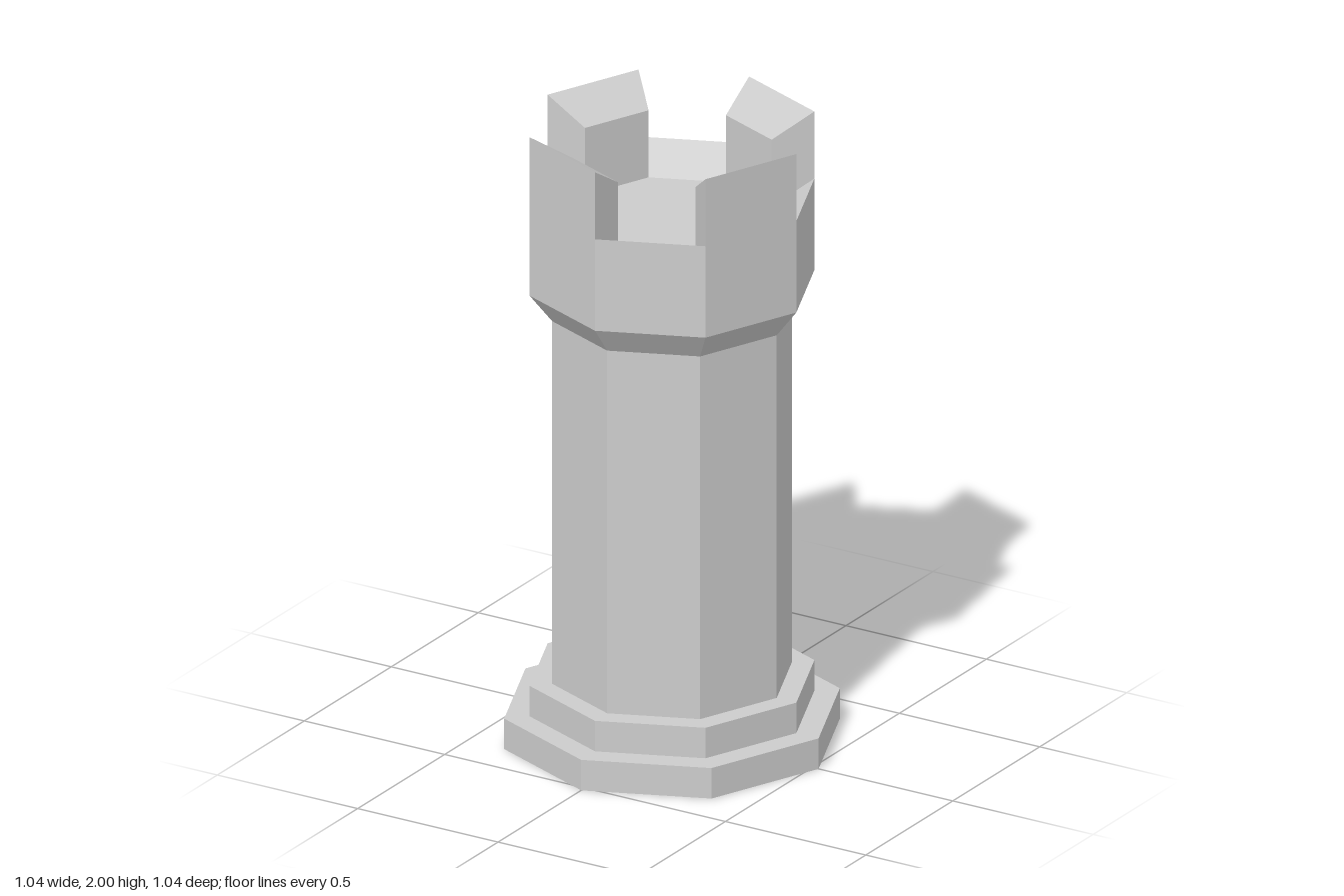
import * as THREE from 'three';
import { ConvexGeometry } from 'three/addons/geometries/ConvexGeometry.js';

const SIDES = 8;
const OUTER = 0.443, INNER = 0.31; // parapet radii
const SILL = 1.78, TOP = 2, DROP = 0.08; // heights; tops slope down inward

export function createModel() {
  const model = new THREE.Group();
  model.name = 'rookTower';
  const material = new THREE.MeshStandardMaterial({ color: 0xcccccc, flatShading: true });

  const add = (name, geometry) => {
    const mesh = new THREE.Mesh(geometry, material);
    mesh.name = name;
    model.add(mesh);
  };
  const lathe = (profile) =>
    new THREE.LatheGeometry(profile.map(([r, y]) => new THREE.Vector2(r, y)), SIDES).toNonIndexed();

  // Two-step octagonal plinth
  add('base', lathe([[0, 0], [0.522, 0], [0.522, 0.1], [OUTER, 0.1], [OUTER, 0.2], [0.373, 0.2]]));

  // Straight shaft
  add('shaft', lathe([[0.373, 0.2], [0.373, 1.39]]));

  // Flared head with sloped sill and sunken floor
  add('head', lathe([[0.373, 1.39], [OUTER, 1.48], [OUTER, SILL], [INNER, SILL - DROP], [0, SILL - DROP]]));

  // Four merlons, one on every second side
  const step = (Math.PI * 2) / SIDES;
  for (let i = 0; i < SIDES; i += 2) {
    const corners = [];
    for (const angle of [(i - 1) * step, i * step]) {
      for (const [r, drop] of [[OUTER, 0], [INNER, DROP]]) {
        for (const y of [SILL, TOP]) {
          corners.push(new THREE.Vector3(Math.sin(angle) * r, y - drop, Math.cos(angle) * r));
        }
      }
    }
    add('merlon' + (i / 2 + 1), new ConvexGeometry(corners));
  }
  return model;
}
